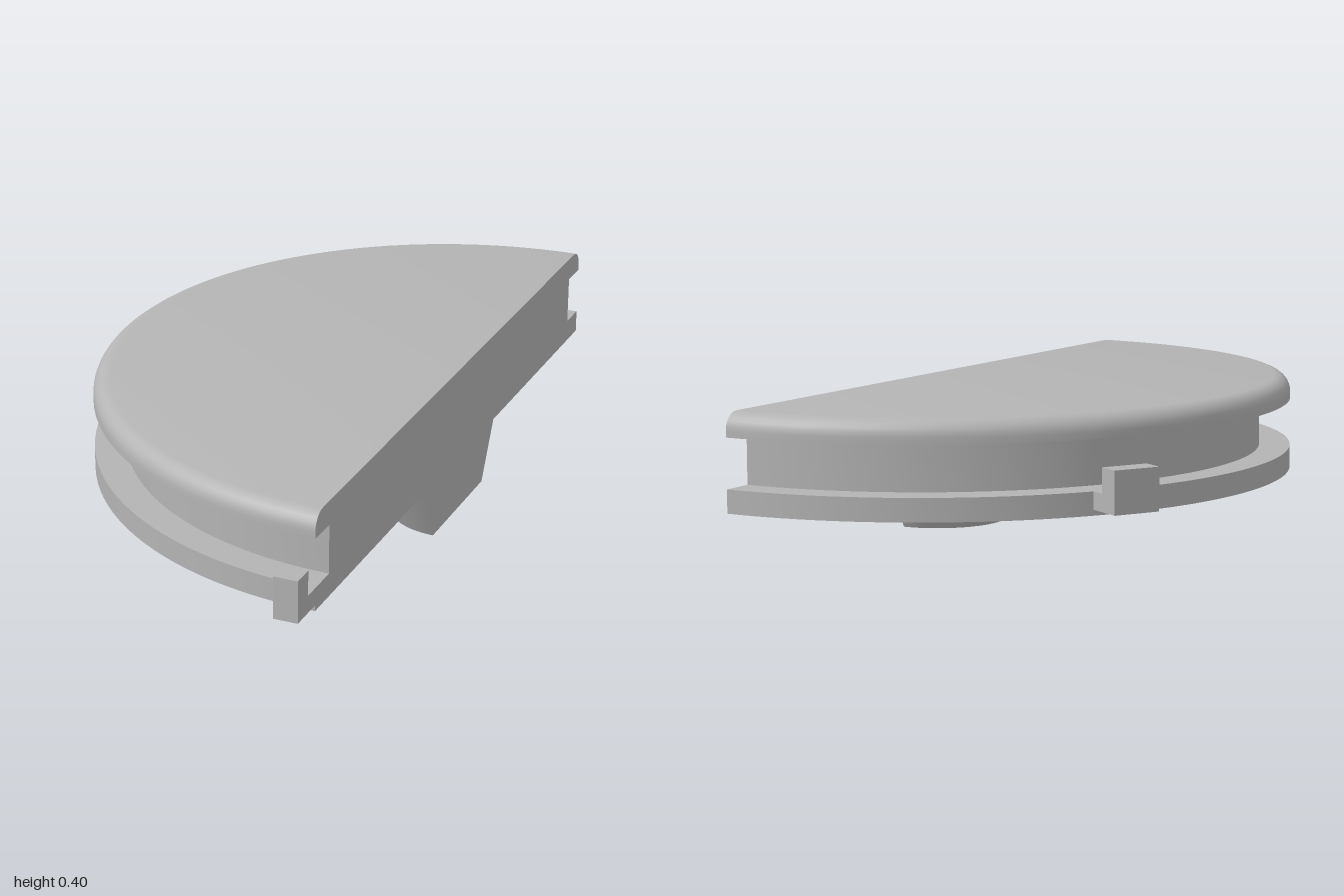
import * as THREE from 'three';
import { toCreasedNormals } from 'three/addons/utils/BufferGeometryUtils.js';

export function createModel() {
  const grey = new THREE.MeshStandardMaterial({ color: 0xb4b4b4 });
  grey.name = 'grey';
  const model = new THREE.Group();
  model.name = 'halfRoundCap';
  // Everything is built around the disc axis, then shifted into place
  const body = new THREE.Group();
  body.name = 'body';
  body.position.set(0.475, 0, -0.05);
  model.add(body);

  const add = (name, geometry, x = 0, z = 0) => {
    const mesh = new THREE.Mesh(geometry, grey);
    mesh.name = name;
    mesh.position.set(x, 0, z);
    body.add(mesh);
    return mesh;
  };
  const lathe = (points, segments, start = 0, length = Math.PI * 2) =>
    toCreasedNormals(new THREE.LatheGeometry(
      points.map(([r, y]) => new THREE.Vector2(r, y)), segments, start, length), 0.6);

  const R = 0.95, GROOVE = 0.867, FILLET = 0.045;
  const BASE = 0.15, BOSS_TOP = 0.26, BOSS_FOOT = 0.18;

  // Rim: lower flange, groove, upper flange with a rounded top edge
  const rim = [[R, BASE], [R, 0.21], [GROOVE, 0.21], [GROOVE, 0.338], [R, 0.338]];
  for (let i = 0; i <= 6; i++) {
    const a = (i / 6) * Math.PI / 2;
    rim.push([R - FILLET + FILLET * Math.cos(a), 0.4 - FILLET + FILLET * Math.sin(a)]);
  }
  add('groovedDisc', lathe([...rim, [0, 0.4]], 64, Math.PI, Math.PI));

  // Tapered boss under the disc
  const boss = [[BOSS_FOOT, 0], [BOSS_TOP, BASE]];
  add('taperedBoss', lathe([[0, 0], ...boss], 48, Math.PI, Math.PI));

  // Flat cut face, mirrored from the rim and boss profiles
  const half = [...boss, ...rim];
  const outline = [...half, ...half.map(([r, y]) => [-r, y]).reverse()];
  const cutShape = new THREE.Shape(outline.map(([x, y]) => new THREE.Vector2(x, y)));
  add('cutFace', new THREE.ShapeGeometry(cutShape).rotateY(Math.PI / 2));

  // Underside with shallow round recesses: x, z, radius, depth
  const recesses = [
    [-0.19, -0.413, 0.1, 0.03],
    [-0.05, 0.422, 0.038, 0.025],
    [-0.139, 0.417, 0.038, 0.025],
  ];
  const under = new THREE.Shape();
  under.absarc(0, 0, R, Math.PI / 2, Math.PI * 1.5, false);
  under.absarc(0, 0, BOSS_TOP, Math.PI * 1.5, Math.PI / 2, true);
  for (const [x, z, r, depth] of recesses) {
    under.holes.push(new THREE.Path().absarc(x, z, r, 0, Math.PI * 2, true));
    add('recess', lathe([[0, BASE + depth], [r, BASE + depth], [r, BASE]], 32), x, z);
  }
  add('underside', new THREE.ShapeGeometry(under, 64).rotateX(Math.PI / 2).translate(0, BASE, 0));

  // L-shaped tabs on the lower flange; the one at the cut is halved
  const tabShape = new THREE.Shape([
    [0.92, 0.165], [1.05, 0.165], [1.05, 0.275], [0.99, 0.275], [0.99, 0.21], [0.92, 0.21],
  ].map(([x, y]) => new THREE.Vector2(x, y)));
  const tab = (name, width, offset, angle) => {
    const geometry = new THREE.ExtrudeGeometry(tabShape, { depth: width, bevelEnabled: false });
    add(name, geometry.translate(0, 0, offset).rotateY(-Math.PI / 2)).rotation.y = angle;
  };
  tab('halfTab', 0.0625, 0, 0);
  tab('fullTab', 0.125, -0.0625, Math.PI * 4 / 3);

  return model;
}
